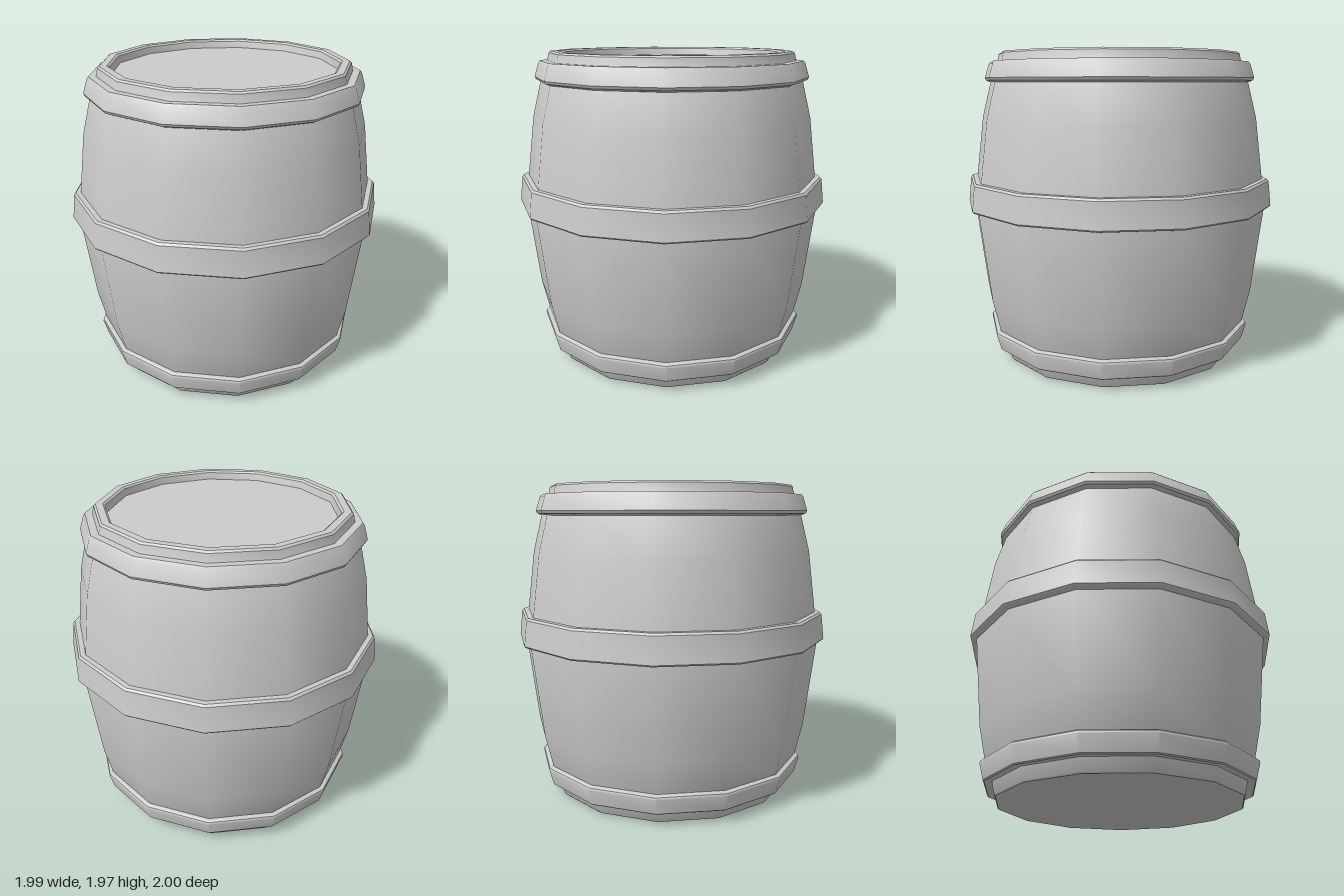
import * as THREE from 'three';
import { toCreasedNormals } from 'three/addons/utils/BufferGeometryUtils.js';

const SIDES = 13;
const material = new THREE.MeshStandardMaterial({ color: 0xcccccc });

// Turn a [radius, y] profile, listed bottom to top on the outside, with a corner on +x
function turned(name, profile) {
  const points = profile.map(([r, y]) => new THREE.Vector2(r, y));
  const lathe = new THREE.LatheGeometry(points, SIDES, Math.PI / 2);
  const mesh = new THREE.Mesh(toCreasedNormals(lathe, 0.6), material);
  mesh.name = name;
  return mesh;
}

export function createModel() {
  const barrel = new THREE.Group();
  barrel.name = 'barrel';

  // Bulging body with a flat base, a raised rim and a sunken lid
  barrel.add(turned('body', [
    [0, 0], [0.77, 0], [0.778, 0.01], [0.797, 0.083], [0.85, 0.21],
    [0.897, 0.41], [0.967, 0.98], [0.945, 1.18], [0.897, 1.556],
    [0.84, 1.78], [0.792, 1.91], [0.782, 1.955], [0.77, 1.966],
    [0.725, 1.966], [0.712, 1.955], [0.702, 1.912], [0, 1.912],
  ]));

  // Hoops: closed rings with bevelled edges, running from the inside bottom round to the inside top
  barrel.add(turned('lowerHoop', [
    [0.78, 0.083], [0.842, 0.08], [0.85, 0.086], [0.878, 0.185],
    [0.874, 0.197], [0.858, 0.207], [0.84, 0.207],
  ]));
  barrel.add(turned('middleHoop', [
    [0.955, 0.978], [0.972, 0.982], [0.998, 0.988], [1.0075, 0.998],
    [0.99, 1.155], [0.978, 1.168], [0.935, 1.168],
  ]));
  barrel.add(turned('upperHoop', [
    [0.82, 1.777], [0.842, 1.779], [0.868, 1.79], [0.877, 1.806],
    [0.85, 1.892], [0.839, 1.907], [0.78, 1.907],
  ]));

  // The odd number of sides shifts the box centre slightly off the axis
  barrel.position.x = -0.015;
  const model = new THREE.Group();
  model.add(barrel);
  return model;
}
